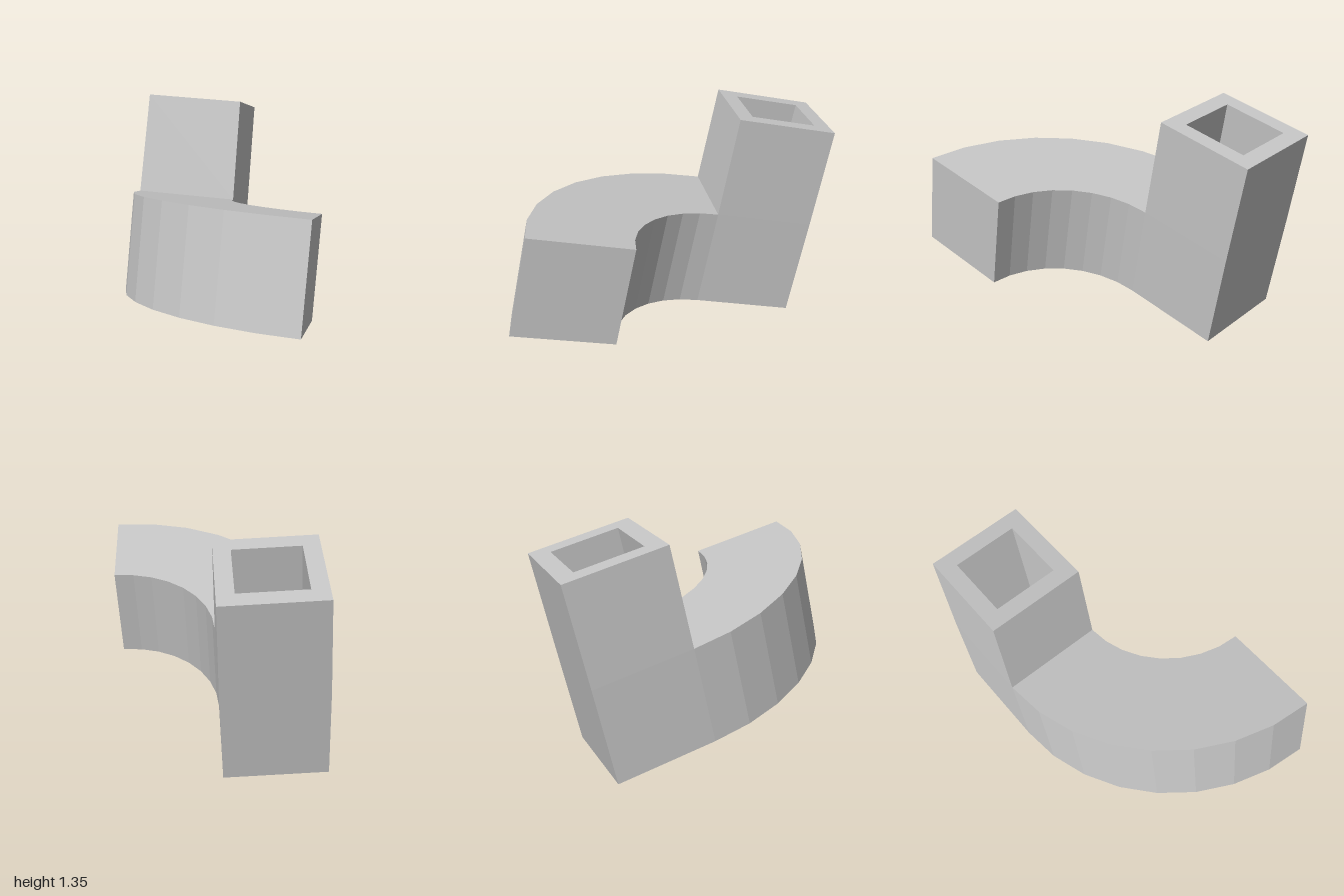
import * as THREE from 'three';

const W = 0.605;          // width of the square section
const H = 0.605;          // height of the curved arm
const TOWER_H = 1.22;     // full height of the hollow tower
const R_IN = 0.613;       // inner radius of the bend
const STEPS = 8;          // facets in the quarter bend

// Outline given in plan (x, z), extruded upwards from y0 to y1
function extrudePlan(points, hole, y0, y1) {
  const toVec = ([x, z]) => new THREE.Vector2(x, -z);
  const shape = new THREE.Shape(points.map(toVec).reverse());
  shape.holes.push(new THREE.Path(hole.map(toVec)));
  const geo = new THREE.ExtrudeGeometry(shape, { depth: y1 - y0, bevelEnabled: false });
  geo.rotateX(-Math.PI / 2);
  geo.translate(0, y0, 0);
  return geo;
}

const square = (a, b) => [[a, a], [b, a], [b, b], [a, b]];

// Quarter arc that leaves the block along +z and ends along +x
function arc(radius) {
  const c = W + R_IN;
  return Array.from({ length: STEPS + 1 }, (_, i) => {
    const a = (i / STEPS) * Math.PI / 2;
    return [c - radius * Math.cos(a), W + radius * Math.sin(a)];
  });
}

export function createModel() {
  const grey = new THREE.MeshStandardMaterial({ color: 0xc6c6c6 });
  grey.name = 'plain grey';

  const model = new THREE.Group();
  model.name = 'curvedSocketBracket';

  const body = new THREE.Group();
  body.name = 'tiltedBody';
  model.add(body);

  const add = (name, geo) => {
    const mesh = new THREE.Mesh(geo, grey);
    mesh.name = name;
    body.add(mesh);
  };

  // The outline and the hole wind in opposite directions, so the hole walls face inwards
  const hole = square(0.102, W - 0.102);

  // Lower layer: hollow base block that continues into the solid bend
  const plan = [[0, 0], [W, 0], ...arc(R_IN), ...arc(R_IN + W).reverse()];
  add('baseAndCurvedArm', extrudePlan(plan, hole, 0, H));

  // Upper layer: hollow tower, narrowing slightly towards the top
  const tower = extrudePlan(square(0, W), hole, H, TOWER_H);
  const pos = tower.attributes.position;
  for (let i = 0; i < pos.count; i++) {
    const t = (pos.getY(i) - H) / (TOWER_H - H);
    pos.setX(i, W / 2 + (pos.getX(i) - W / 2) * (1 - 0.035 * t));
  }
  tower.computeVertexNormals();
  add('hollowTower', tower);

  // Tilt and turn the whole body
  const up = new THREE.Vector3(-0.048, 0.979, -0.2).normalize();
  const side = up.clone().cross(new THREE.Vector3(0.475, 0.197, 0.857)).normalize();
  const front = side.clone().cross(up);
  body.quaternion.setFromRotationMatrix(new THREE.Matrix4().makeBasis(side, up, front));
  body.position.set(-0.945, 0.035, -0.298);

  return model;
}
